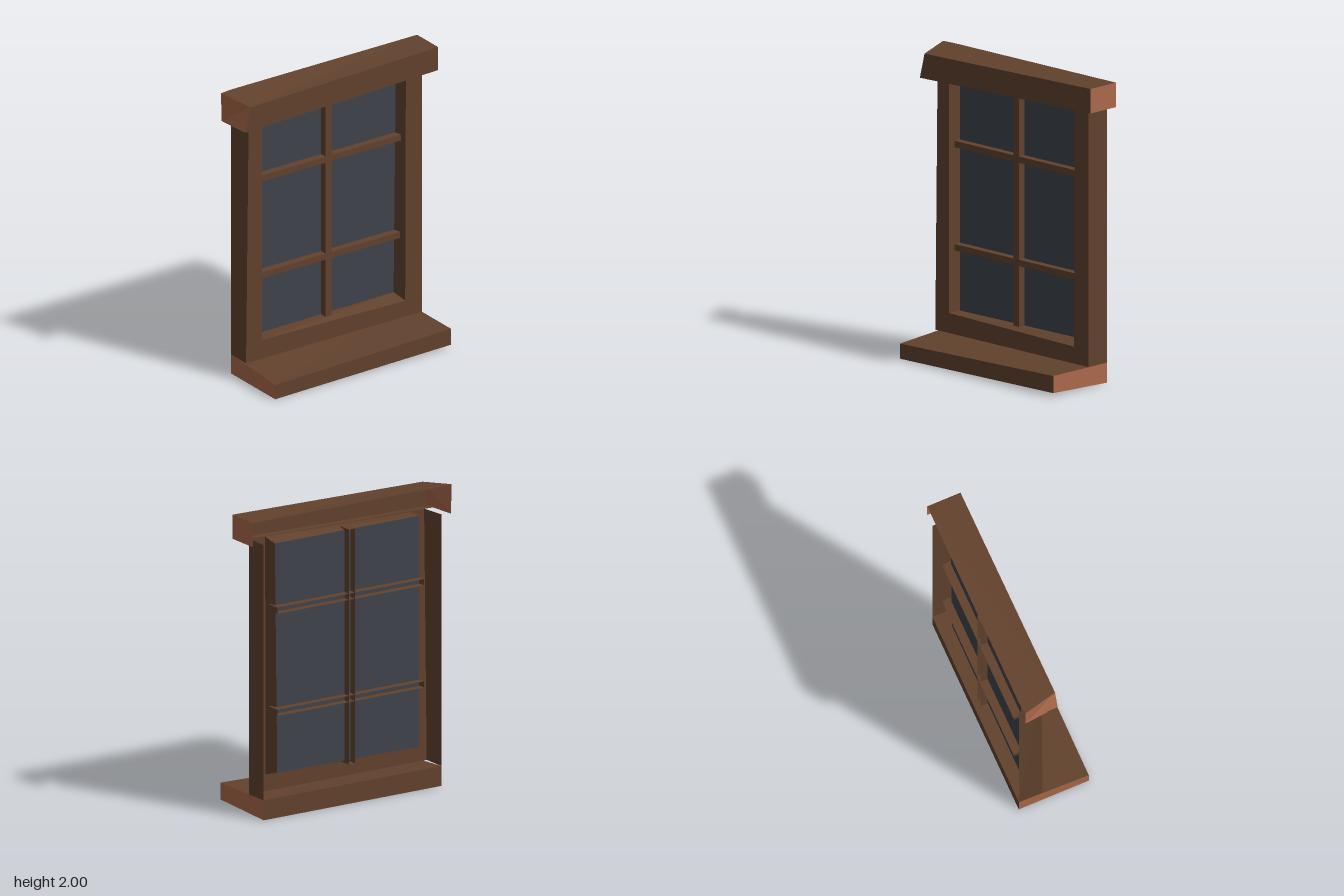
import * as THREE from 'three';

const material = (name, color) => new THREE.MeshStandardMaterial({ name, color, side: THREE.DoubleSide });

// One mesh from four-cornered panels, corners anticlockwise as seen from outside
function panels(name, mat, quads) {
  const pos = [];
  for (const [a, b, c, d] of quads) pos.push(...a, ...b, ...c, ...a, ...c, ...d);
  const geo = new THREE.BufferGeometry();
  geo.setAttribute('position', new THREE.Float32BufferAttribute(pos, 3));
  geo.computeVertexNormals();
  const mesh = new THREE.Mesh(geo, mat);
  mesh.name = name;
  return mesh;
}

// Glazing bar: a channel that is open at the back
function bar(name, mat, x0, x1, y0, y1) {
  const f = -0.125, b = -0.225;
  const c = [[x0, y0], [x1, y0], [x1, y1], [x0, y1]];
  const quads = c.map(([x, y], i) => {
    const [u, v] = c[(i + 1) % 4];
    return [[x, y, f], [x, y, b], [u, v, b], [u, v, f]];
  });
  quads.push(c.map(([x, y]) => [x, y, f]));
  return panels(name, mat, quads);
}

export function createModel() {
  const wood = material('brown wood', 0x62422d);
  const endWood = material('cut end wood', 0xac694a);
  const glass = material('dark glass', 0x3f444b);
  const model = new THREE.Group();
  model.name = 'window';

  // Sill, slightly warped at the front
  const sill = new THREE.Group();
  sill.name = 'sill';
  const [bbl, bbr, bfr, bfl] = [[-0.69, 0, -0.245], [0.69, 0, -0.245], [0.69, 0.02, 0.245], [-0.69, 0, 0.245]];
  const [tbl, tbr, tfr, tfl] = [[-0.69, 0.133, -0.245], [0.69, 0.133, -0.245], [0.69, 0.133, 0.245], [-0.69, 0.1, 0.245]];
  sill.add(
    panels('sillBoard', wood, [[tfl, tfr, tbr, tbl], [bfl, bfr, tfr, tfl], [bbl, bbr, bfr, bfl], [bbr, bbl, tbl, tbr]]),
    panels('sillEnds', endWood, [[bfr, bbr, tbr, tfr], [bbl, bfl, tfl, tbl]]));
  model.add(sill);

  // Frame: a front ring, outer sides and a reveal running back to the glass
  const frame = new THREE.Group();
  frame.name = 'frame';
  const zf = -0.078, zg = -0.175, zb = -0.245;
  const outer = [[-0.69, 0.133], [0.69, 0.133], [0.69, 1.84], [-0.67, 1.815]];
  const hole = [[-0.565, 0.265], [0.56, 0.245], [0.565, 1.835], [-0.565, 1.81]];
  const pane = [[-0.565, 0.265], [0.537, 0.275], [0.555, 1.81], [-0.565, 1.81]];
  const at = (list, z) => list.map(([x, y]) => [x, y, z]);
  const [o, h, p] = [at(outer, zf), at(hole, zf), at(pane, zg)];
  const next = (i) => (i + 1) % 4;
  frame.add(
    panels('frameFront', wood, o.map((q, i) => [q, o[next(i)], h[next(i)], h[i]])),
    panels('frameReveal', wood, h.map((q, i) => [q, h[next(i)], p[next(i)], p[i]])),
    panels('frameSides', wood, [
      [o[1], [0.69, 0.133, zb], [0.69, 1.84, zb], o[2]],
      [[-0.69, 0.133, zb], o[0], o[3], [-0.69, 1.815, zb]]]));
  model.add(frame, panels('glassPane', glass, [p]));

  // Glazing bars
  const bars = new THREE.Group();
  bars.name = 'glazingBars';
  bars.add(bar('verticalBar', wood, -0.032, 0.015, 0.255, 1.825));
  for (const y of [0.693, 1.376]) bars.add(bar('horizontalBar', wood, -0.57, 0.57, y - 0.021, y + 0.021));
  model.add(bars);

  // Header: an open-backed hood with one skewed end
  const header = new THREE.Group();
  header.name = 'header';
  const [TB, TF, BF, BB] = [[-0.775, 2, -0.235], [-0.71, 1.97, 0], [-0.752, 1.803, 0], [-0.772, 1.803, -0.235]];
  const [RTB, RTF, RBF, RBB] = [[0.772, 2, -0.245], [0.772, 2, -0.012], [0.772, 1.838, -0.012], [0.772, 1.838, -0.245]];
  const backCorner = [-0.69, 2, -0.245];
  header.add(
    panels('headerTop', wood, [[TF, RTF, RTB, backCorner], [TF, backCorner, TB, TB]]),
    panels('headerFront', wood, [[BF, RBF, RTF, TF]]),
    panels('headerSoffit', wood, [[[-0.765, 1.812, zf], [0.772, 1.838, zf], RBF, BF]]),
    panels('headerEnds', endWood, [[RBF, RBB, RTB, RTF], [BB, BF, TF, TB]]));
  model.add(header);

  return model;
}
